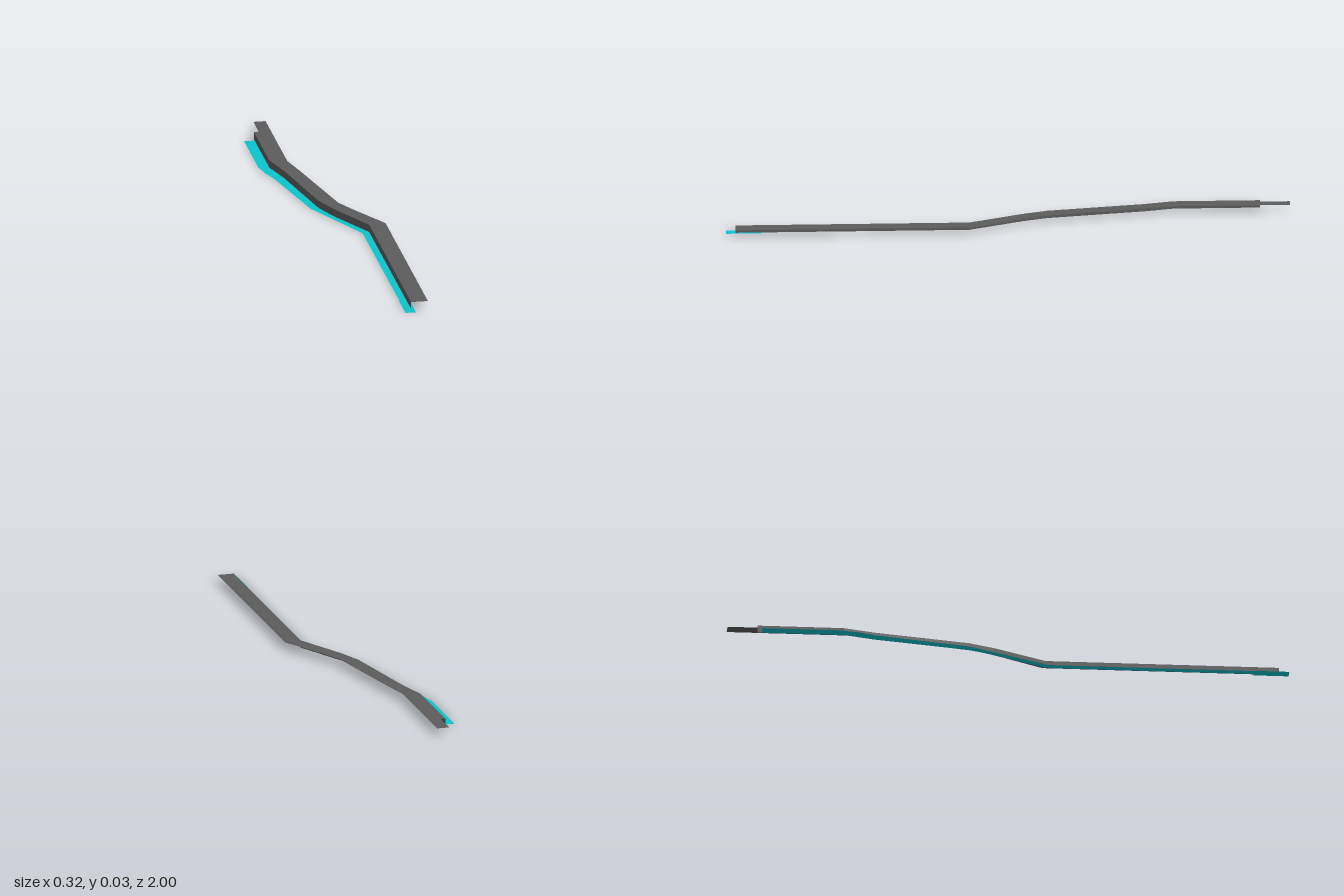
import * as THREE from 'three';

const H = 0.027; // kerb height

// Plan outlines [x, z], running from back to front
const kerbEdge = [[-0.125, -0.895], [-0.125, -0.59], [-0.095, -0.48], [-0.03, -0.14],
  [0.005, -0.05], [0.1, 0.14], [0.1, 0.966]];
const walkEdge = [[-0.064, -0.895], [-0.064, -0.575], [-0.038, -0.46], [0.034, -0.11],
  [0.078, -0.02], [0.16, 0.132], [0.16, 0.966]];
const gutterOuter = [[-0.163, -0.88], [-0.163, -0.6], [-0.15, -0.535], [-0.13, -0.476],
  [-0.06, -0.14], [-0.024, -0.063], [0.075, 0.148], [0.075, 0.875]];
const gutterInner = [[-0.125, -0.88], [-0.125, -0.59], [-0.11, -0.535], [-0.095, -0.48],
  [-0.03, -0.14], [0.005, -0.05], [0.1, 0.14], [0.1, 0.875]];

const at = (points, y) => points.map(([x, z]) => new THREE.Vector3(x, y, z));

// Faceted ribbon between two edges with the same number of points
function ribbon(name, a, b, material) {
  const index = [];
  const n = a.length;
  for (let i = 0; i < n - 1; i++) {
    index.push(i, i + 1, n + i, i + 1, n + i + 1, n + i);
  }
  const indexed = new THREE.BufferGeometry().setFromPoints([...a, ...b]);
  indexed.setIndex(index);
  const geometry = indexed.toNonIndexed();
  geometry.computeVertexNormals();
  const mesh = new THREE.Mesh(geometry, material);
  mesh.name = name;
  return mesh;
}

export function createModel() {
  const concrete = new THREE.MeshStandardMaterial({ color: 0x5c5c5c, side: THREE.DoubleSide });
  concrete.name = 'dark grey';
  const cyan = new THREE.MeshStandardMaterial({ color: 0x0cc4cc, side: THREE.DoubleSide });
  cyan.name = 'cyan';

  const group = new THREE.Group();
  group.name = 'kerbStrip';
  group.add(
    // Raised top surface and its narrow tongue at the back
    ribbon('kerbTop', at(kerbEdge, H), at(walkEdge, H), concrete),
    ribbon('topTongue', at([[-0.108, -1], [-0.108, -0.895]], H),
      at([[-0.064, -1], [-0.064, -0.895]], H), concrete),
    // Upright face
    ribbon('kerbFace', at(kerbEdge, 0), at(kerbEdge, H), concrete),
    // Ground-level strip and its wider front end
    ribbon('gutter', at(gutterOuter, 0), at(gutterInner, 0), cyan),
    ribbon('gutterEnd', at([[0.073, 0.875], [0.073, 1]], 0),
      at([[0.111, 0.875], [0.111, 1]], 0), cyan),
  );
  return group;
}
